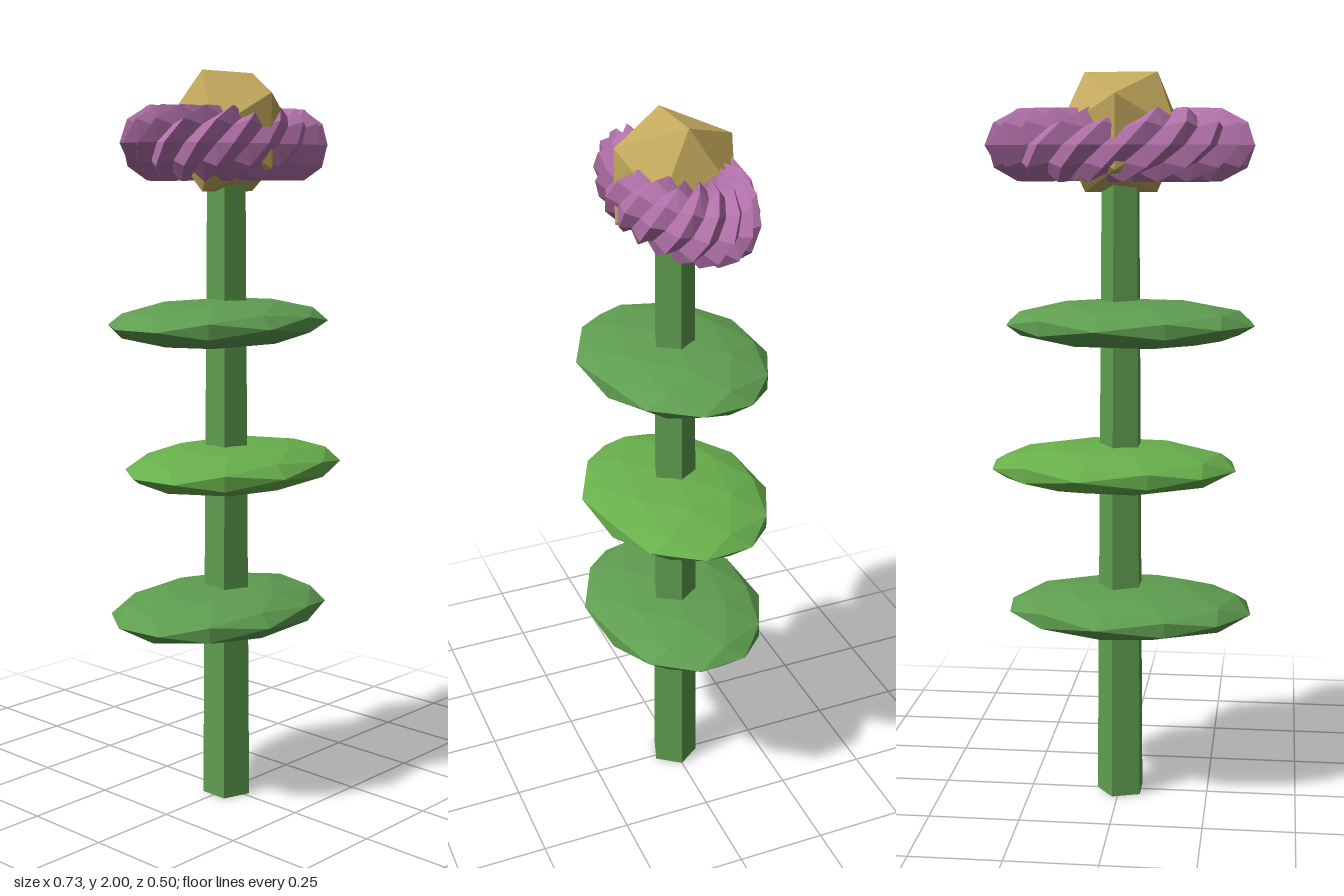
import * as THREE from 'three';

const mat = (color) => new THREE.MeshStandardMaterial({ color, flatShading: true });

// Ring of small pointed facets: a torus whose tube radius alternates per vertex
function spikyRing(rings, sides) {
  const geo = new THREE.TorusGeometry(1, 0.5, sides, rings);
  const pos = geo.attributes.position;
  for (let j = 0, k = 0; j <= sides; j++) {
    for (let i = 0; i <= rings; i++, k++) {
      const u = (i / rings) * Math.PI * 2;
      const v = (j / sides) * Math.PI * 2;
      const r = (i + j) % 2 === 0 ? 0.55 : 0.42;
      const d = 1 + r * Math.cos(v);
      pos.setXYZ(k, d * Math.cos(u), d * Math.sin(u), r * Math.sin(v));
    }
  }
  geo.rotateX(-Math.PI / 2);
  geo.scale(0.235, 0.182, 0.11);
  return geo;
}

export function createModel() {
  const group = new THREE.Group();
  const add = (name, geo, material, x, y, z) => {
    const mesh = new THREE.Mesh(geo, material);
    mesh.name = name;
    mesh.position.set(x, y, z);
    group.add(mesh);
  };

  // Five-sided tapering stem with one corner towards +x
  const stemGeo = new THREE.CylinderGeometry(0.054, 0.069, 1.76, 5);
  stemGeo.rotateY(Math.PI / 2);
  add('stem', stemGeo, mat(0x5f9e50), -0.006, 0.88, 0);

  // Flattened faceted leaves, shifted to alternating sides
  const leafGeo = new THREE.IcosahedronGeometry(1, 1);
  leafGeo.rotateY(-0.2);
  leafGeo.scale(0.345, 0.066, 0.251);
  const leafMats = [mat(0x5f9e50), mat(0x68b04c)];
  [0.543, 0.941, 1.337].forEach((y, i) => {
    const side = i % 2 ? 1 : -1;
    add('leaf' + (i + 1), leafGeo, leafMats[i % 2], -0.006 + side * 0.023, y, side * 0.006);
  });

  // Petal ring and faceted flower centre
  add('petals', spikyRing(38, 10), mat(0xb070a8), 0, 1.81, 0);
  add('flowerCentre', new THREE.IcosahedronGeometry(0.184, 0), mat(0xc4aa5e), -0.004, 1.843, 0);

  return group;
}
